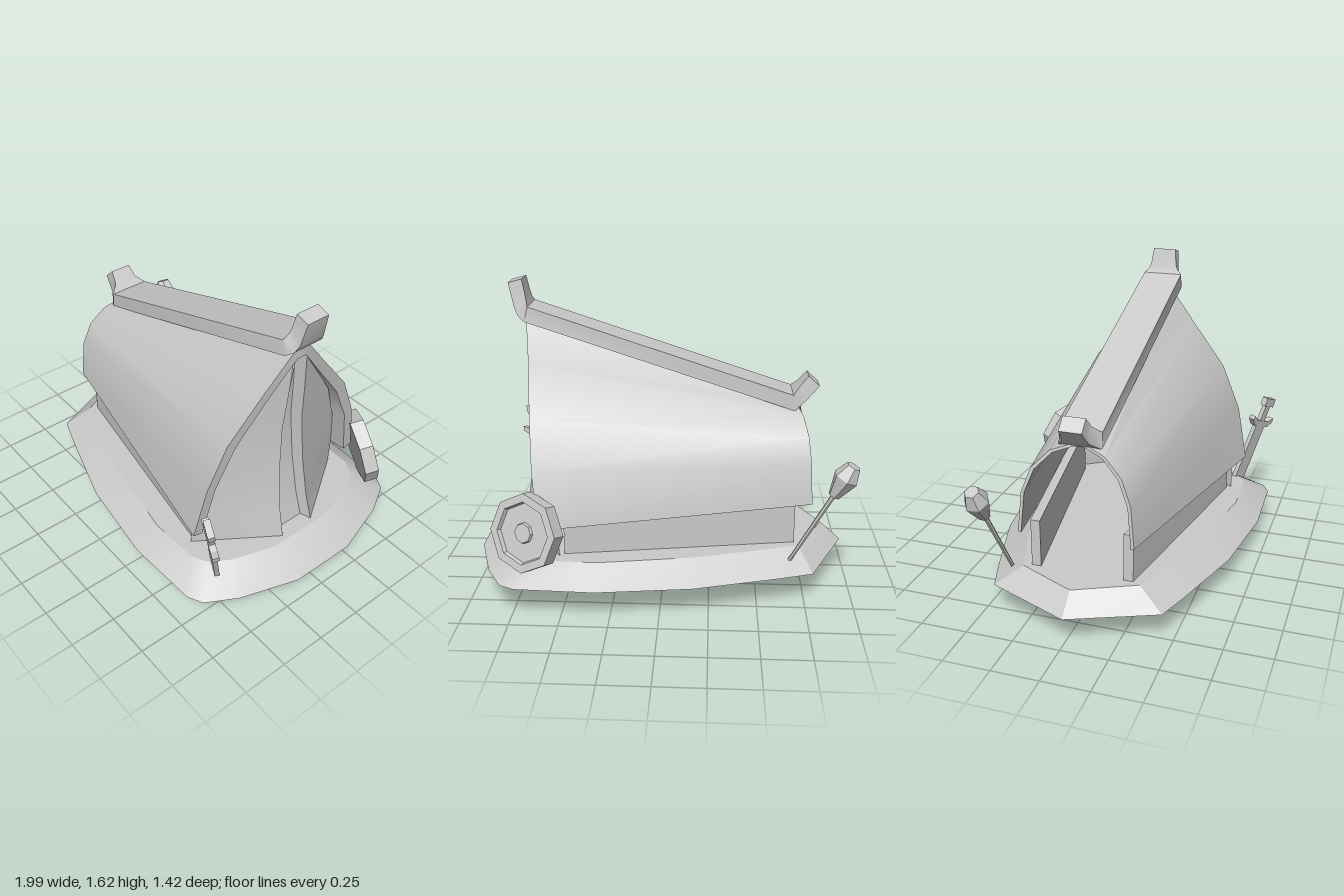
import * as THREE from 'three';
import { toCreasedNormals } from 'three/addons/utils/BufferGeometryUtils.js';

const V = (x, y, z) => new THREE.Vector3(x, y, z);
const solid = new THREE.MeshStandardMaterial({ color: 0xcccccc });
const faceted = new THREE.MeshStandardMaterial({ color: 0xcccccc, flatShading: true });
const thin = new THREE.MeshStandardMaterial({ color: 0xcccccc, side: THREE.DoubleSide });

function add(parent, name, geometry, material = solid) {
  const mesh = new THREE.Mesh(geometry, material);
  mesh.name = name;
  parent.add(mesh);
  return mesh;
}

// Skin a row of cross-sections; closed rings run counter-clockwise about the direction of travel
function loft(rings, { closed = true, startCap = closed, endCap = closed, crease = 0.6 } = {}) {
  const n = rings[0].length, index = [], last = (rings.length - 1) * n;
  for (let i = 0; i < rings.length - 1; i++) {
    for (let j = 0; j < (closed ? n : n - 1); j++) {
      const a = i * n + j, b = i * n + (j + 1) % n;
      index.push(a, b, b + n, a, b + n, a + n);
    }
  }
  for (let j = 1; j < n - 1; j++) {
    if (startCap) index.push(0, j + 1, j);
    if (endCap) index.push(last, last + j, last + j + 1);
  }
  const g = new THREE.BufferGeometry().setFromPoints(rings.flat());
  g.setIndex(index);
  return toCreasedNormals(g, crease);
}

// Rectangular section of a beam that runs along x
const beamSection = (xt, yt, xb, yb, z0, z1) =>
  [V(xt, yt, z0), V(xt, yt, z1), V(xb, yb, z1), V(xb, yb, z0)];

function outline(half, y) {
  const back = half.map(([x, z]) => V(x, y, -z));
  const front = half.slice(0, -1).reverse().map(([x, z]) => V(x, y, z));
  return [...back, ...front];
}

function buildTent() {
  const tent = new THREE.Group();
  tent.name = 'tent';
  tent.position.z = 0.007;

  // Ground slab: a flat deck with a sloping skirt, open underneath
  const foot = [[1, 0.18], [0.9, 0.49], [0.81, 0.65], [0.73, 0.69], [0.32, 0.705],
    [-0.17, 0.64], [-0.6, 0.51], [-0.79, 0.445], [-0.98, 0]];
  const deck = [[0.82, 0.18], [0.75, 0.41], [0.68, 0.52], [0.6, 0.56], [0.32, 0.57],
    [-0.17, 0.485], [-0.55, 0.37], [-0.72, 0.31], [-0.87, 0]];
  add(tent, 'base', loft([outline(foot, 0.155), outline(deck, 0.255)],
    { startCap: false, crease: 0.4 }), thin);

  // Roof: [x, y, z] of the back and front edges from eave to ridge, then inward offset [y, z]
  const roof = [
    [[-0.785, 0.485, 0.3], [0.62, 0.42, 0.56], [-0.015, -0.055]],
    [[-0.775, 0.7, 0.28], [0.65, 0.71, 0.5], [-0.01, -0.055]],
    [[-0.76, 0.83, 0.23], [0.67, 0.96, 0.392], [-0.03, -0.055]],
    [[-0.735, 0.92, 0.14], [0.7, 1.2, 0.2], [-0.035, -0.04]],
    [[-0.705, 0.955, 0.04], [0.73, 1.39, 0.05], [-0.05, -0.02]],
    [[-0.7, 0.96, 0], [0.735, 1.405, 0], [-0.055, 0]],
  ];
  const roofRing = ([b, f, [dy, dz]], s) => [
    V(b[0], b[1], s * b[2]),
    V(f[0], f[1], s * f[2]),
    V(f[0], f[1] + dy, s * (f[2] + dz)),
    V(b[0], b[1] + dy * 0.3, s * (b[2] + dz * 0.3)),
  ];
  const rings = [...roof.map(r => roofRing(r, 1)),
    ...roof.slice(0, -1).reverse().map(r => roofRing(r, -1))];
  add(tent, 'roof', loft(rings));

  // Low side walls
  for (const s of [1, -1]) {
    const section = (x, z) => beamSection(x, 0.51, x, 0.25, s * z - 0.025, s * z + 0.025);
    add(tent, s > 0 ? 'leftWall' : 'rightWall', loft([section(-0.7, 0.245), section(0.5, 0.45)]));
  }

  // Front cloth: outer edge under the roof, two folds either side of the door strip
  const rows = [ // y, outer x, outer z, fold x, fold z
    [1.36, 0.72, 0.04, 0.73, 0.035], [1.14, 0.67, 0.18, 0.715, 0.052],
    [0.92, 0.62, 0.33, 0.7, 0.065], [0.65, 0.57, 0.44, 0.715, 0.08],
    [0.41, 0.53, 0.495, 0.75, 0.092], [0.255, 0.52, 0.5, 0.79, 0.1],
  ].map(([y, xo, zo, xf, zf]) => {
    const half = [V(xo, y, zo), V(xf, y, zf), V(xf - 0.06, y, zf - 0.018)];
    return [...half, ...half.map(p => V(p.x, p.y, -p.z)).reverse()];
  });
  add(tent, 'frontFlaps', loft(rows, { closed: false }), thin);

  // Ridge beam with an upturned horn at each end
  const ridge = [
    [-0.76, 1.115, -0.82, 1.06, 0.058], [-0.715, 1.06, -0.755, 0.985, 0.068],
    [-0.68, 1.022, -0.69, 0.937, 0.11], [0.71, 1.477, 0.73, 1.398, 0.11],
    [0.718, 1.5, 0.765, 1.425, 0.088], [0.725, 1.53, 0.785, 1.465, 0.075],
    [0.742, 1.615, 0.815, 1.595, 0.064],
  ].map(([xt, yt, xb, yb, w]) => beamSection(xt, yt, xb, yb, -w, w));
  add(tent, 'ridgeBeam', loft(ridge, { crease: 0.7 }));
  return tent;
}

function extrude(points, depth) {
  const shape = new THREE.Shape(points.map(([x, y]) => new THREE.Vector2(x, y)));
  return new THREE.ExtrudeGeometry(shape, { depth, bevelEnabled: false }).translate(0, 0, -depth / 2);
}

// Sword driven through the slab; local y runs from tip to pommel, local x along the guard
function buildSword() {
  const sword = new THREE.Group();
  sword.name = 'sword';
  const up = V(0.195, 0.73, 0.22).normalize();
  const out = V(0.2, -0.09, 0.085).normalize().cross(up).normalize();
  const side = up.clone().cross(out);
  sword.quaternion.setFromRotationMatrix(new THREE.Matrix4().makeBasis(side, up, out));
  sword.position.set(0.655, 0, 0.437);
  add(sword, 'blade', extrude([[-0.015, 0], [0.015, 0], [0.048, 0.12], [0.048, 0.62],
    [-0.048, 0.62], [-0.048, 0.12]], 0.025), faceted);
  add(sword, 'guard', extrude([[-0.07, 0.6], [0.07, 0.6], [0.11, 0.635], [0.105, 0.66],
    [0.06, 0.635], [-0.06, 0.635], [-0.105, 0.66], [-0.11, 0.635]], 0.035), faceted);
  add(sword, 'grip', new THREE.BoxGeometry(0.05, 0.13, 0.025).translate(0, 0.68, 0));
  add(sword, 'pommel', new THREE.BoxGeometry(0.095, 0.05, 0.035).translate(0, 0.755, 0));
  return sword;
}

function lathe(profile, sides) {
  return new THREE.LatheGeometry(profile.map(([r, y]) => new THREE.Vector2(r, y)), sides);
}

// Eight-sided shield with raised rim and boss, leaning at the back corner
function buildShield() {
  const profile = [[0, -0.045], [0.203, -0.045], [0.203, 0.03], [0.16, 0.03], [0.152, 0.01],
    [0.055, 0.01], [0.05, 0.025], [0, 0.025]];
  const shield = new THREE.Mesh(lathe(profile, 8).rotateY(Math.PI / 8), faceted);
  shield.name = 'shield';
  shield.quaternion.setFromUnitVectors(V(0, 1, 0), V(0.46, 0.23, -0.86).normalize());
  shield.position.set(0.675, 0.423, -0.583);
  return shield;
}

// Leaning torch
function buildTorch() {
  const torch = new THREE.Group();
  torch.name = 'torch';
  torch.position.set(-0.665, 0.2, -0.385);
  torch.quaternion.setFromUnitVectors(V(0, 1, 0), V(-0.3, 0.56, -0.055).normalize());
  add(torch, 'stick', new THREE.CylinderGeometry(0.013, 0.01, 0.46, 6).translate(0, 0.23, 0), faceted);
  add(torch, 'head', lathe([[0, 0.445], [0.03, 0.445], [0.066, 0.56], [0.038, 0.635], [0, 0.635]], 6), faceted);
  return torch;
}

export function createModel() {
  const model = new THREE.Group();
  model.name = 'tentCamp';
  model.add(buildTent(), buildSword(), buildShield(), buildTorch());
  return model;
}
